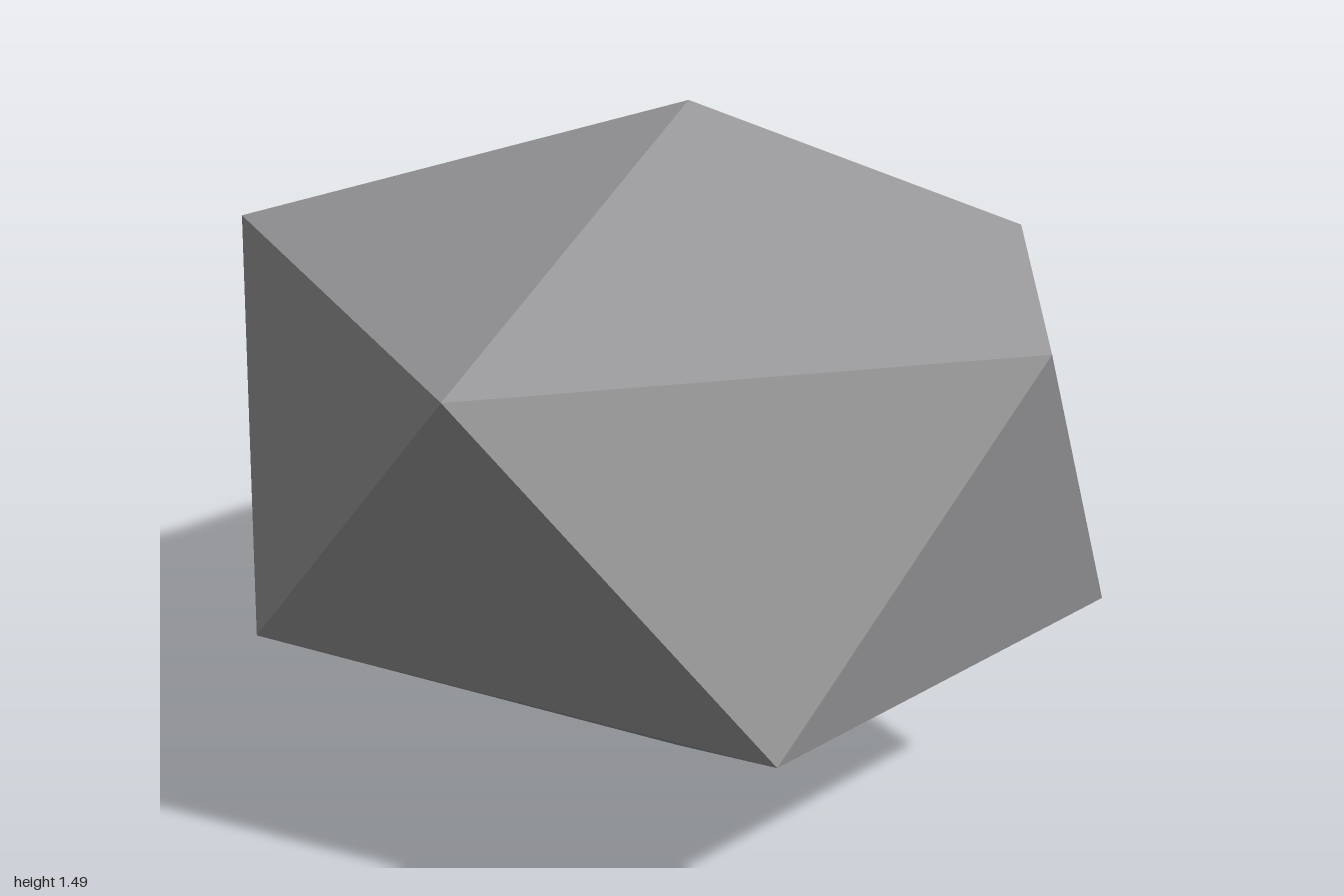
import * as THREE from 'three';

// Irregular low-poly rock: two staggered five-point rings closed by a top and a bottom point.
export function createModel() {
  const group = new THREE.Group();
  group.name = 'rock';

  const ring = (y, points) => points.map(([x, z]) => [x, y, z]);
  const upper = ring(1.185, [[1, -0.147], [0.46, 0.79], [-0.734, 0.396], [-0.734, -0.583], [0.46, -0.79]]);
  const lower = ring(0.518, [[0.88, 0.4], [-0.16, 0.79], [-1, -0.147], [-0.16, -0.79], [0.88, -0.583]]);
  const top = [0.09, 1.49, -0.147];
  const bottom = [0.09, 0, -0.147];

  const corners = [];
  for (let i = 0; i < 5; i++) {
    const j = (i + 1) % 5;
    corners.push(
      top, upper[j], upper[i],          // crown facet
      upper[i], upper[j], lower[i],     // side facet pointing down
      lower[i], upper[j], lower[j],     // side facet pointing up
      bottom, lower[i], lower[j]        // underside facet
    );
  }

  const geometry = new THREE.BufferGeometry();
  geometry.setAttribute('position', new THREE.Float32BufferAttribute(corners.flat(), 3));
  geometry.computeVertexNormals();

  const stone = new THREE.MeshStandardMaterial({ color: 0x98989a, flatShading: true });
  stone.name = 'grey stone';

  const mesh = new THREE.Mesh(geometry, stone);
  mesh.name = 'boulder';
  group.add(mesh);
  return group;
}
